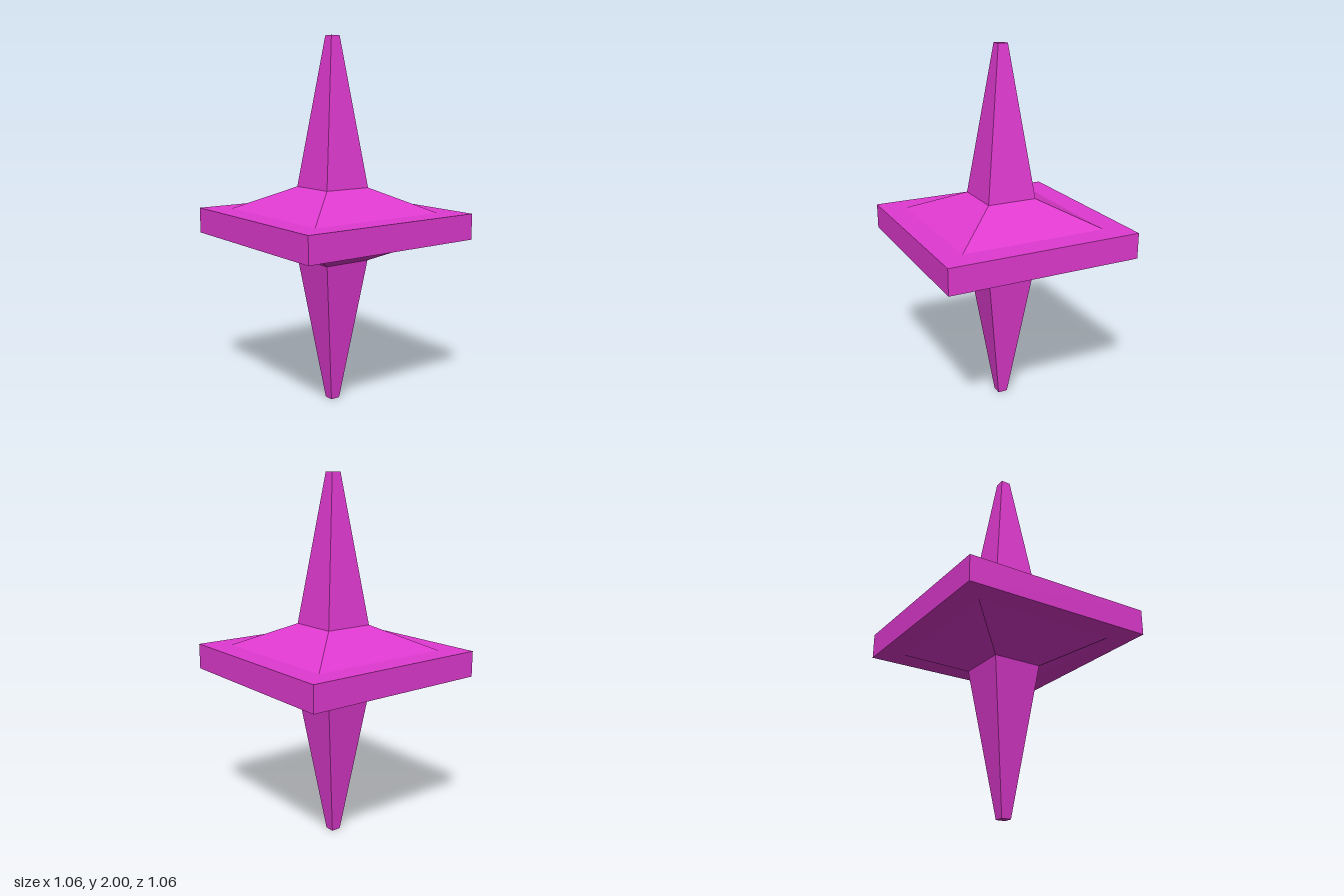
import * as THREE from 'three';

const magenta = new THREE.MeshStandardMaterial({ color: 0xe03ad0, flatShading: true });
magenta.name = 'magenta';

// Square frustum given by its half widths and the heights of its two ends
function frustum(name, topHalf, bottomHalf, y0, y1, open) {
  const geometry = new THREE.CylinderGeometry(
    topHalf * Math.SQRT2, bottomHalf * Math.SQRT2, y1 - y0, 4, 1, open);
  geometry.rotateY(Math.PI / 4);
  geometry.translate(0, (y0 + y1) / 2, 0);
  const mesh = new THREE.Mesh(geometry, magenta);
  mesh.name = name;
  return mesh;
}

// Sloped collar and tapering spike, measured from the middle of the plate
function createSpike(name) {
  const group = new THREE.Group();
  group.name = name;
  group.add(
    frustum('collar', 0.137, 0.4, 0.07, 0.2, true),
    frustum('spike', 0.027, 0.137, 0.2, 1, false));
  return group;
}

export function createModel() {
  const model = new THREE.Group();
  model.name = 'doubleSpike';

  // Square plate around the middle
  const plate = new THREE.Mesh(new THREE.BoxGeometry(1.06, 0.14, 1.06), magenta);
  plate.name = 'plate';
  plate.position.y = 1;

  // Upper spike and its copy turned upside down
  const upper = createSpike('upperSpike');
  const lower = createSpike('lowerSpike');
  upper.position.y = lower.position.y = 1;
  lower.rotation.x = Math.PI;

  model.add(plate, upper, lower);
  return model;
}
